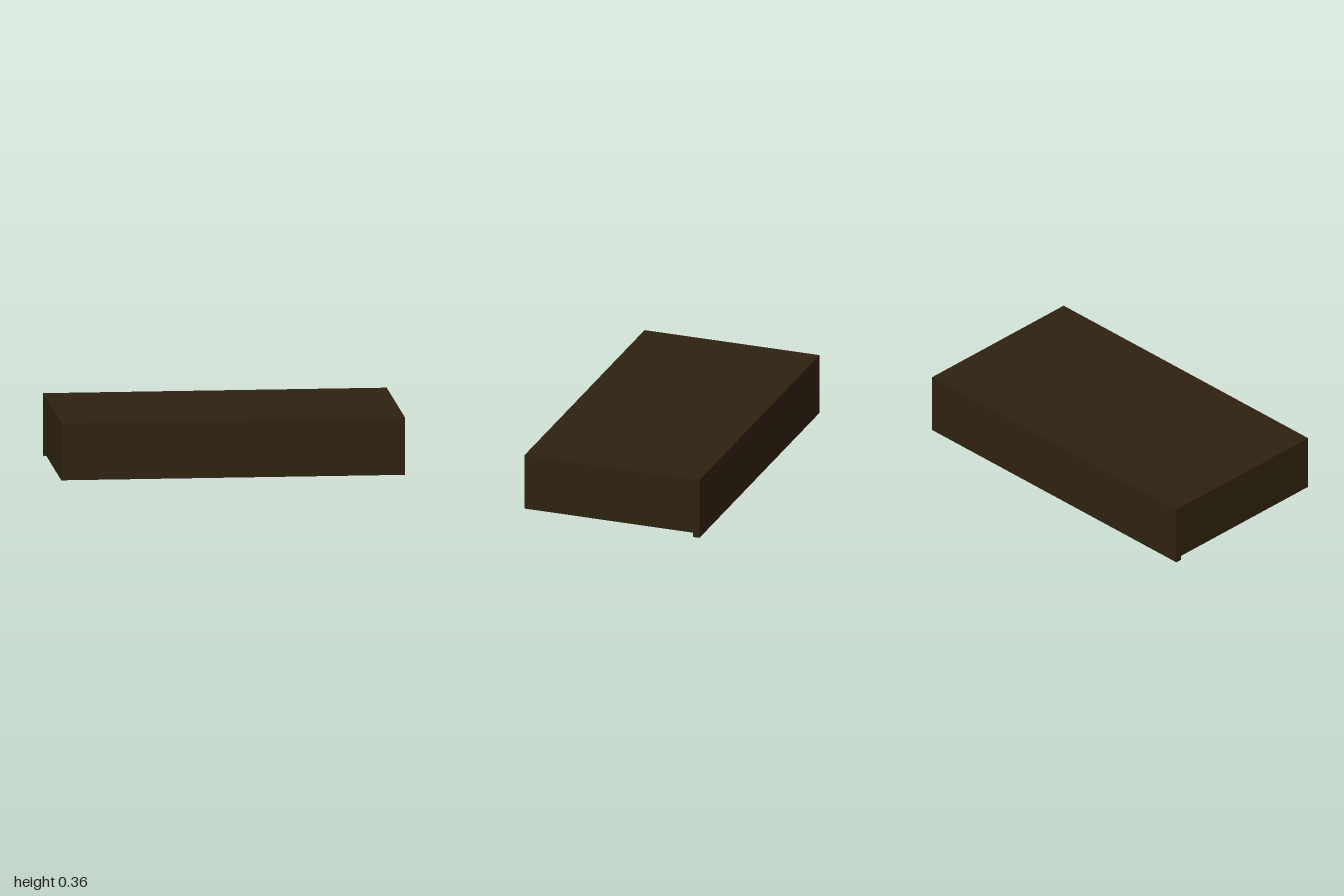
import * as THREE from 'three';

// Wide three-bay cabinet lying on its back panel's opposite side: bays open downwards
export function createModel() {
  const group = new THREE.Group();
  const material = new THREE.MeshStandardMaterial({ color: 0x2e2110 });

  // Board given by its extents along each axis
  const board = (name, [x0, x1], [y0, y1], [z0, z1]) => {
    const mesh = new THREE.Mesh(new THREE.BoxGeometry(x1 - x0, y1 - y0, z1 - z0), material);
    mesh.position.set((x0 + x1) / 2, (y0 + y1) / 2, (z0 + z1) / 2);
    mesh.name = name;
    group.add(mesh);
  };

  const t = 0.02;                      // board thickness
  const W = 1, D = 0.54, H = 0.362;    // half width, half depth, height
  const rim = 0.027;                   // lower edge of the bays
  const ceiling = H - 0.015;           // underside of the closing panel
  const back = -D + 0.04;              // inner face of the thick back board

  // Thick back board overhangs the rim
  board('backBoard', [-W, W], [0, H], [-D, back]);
  board('frontBoard', [-W, W], [rim, H], [D - t, D]);
  board('topPanel', [-W + t, W - t], [ceiling, H], [back, D - t]);

  // Outer walls and the dividers between the bays
  for (const [side, s] of [['left', 1], ['right', -1]]) {
    const x = s * (W - t / 2), d = s * 0.53;
    board(side + 'Wall', [x - t / 2, x + t / 2], [rim, H], [back, D - t]);
    board(side + 'Divider', [d - t / 2, d + t / 2], [rim, ceiling], [back, D - t]);
  }
  return group;
}
